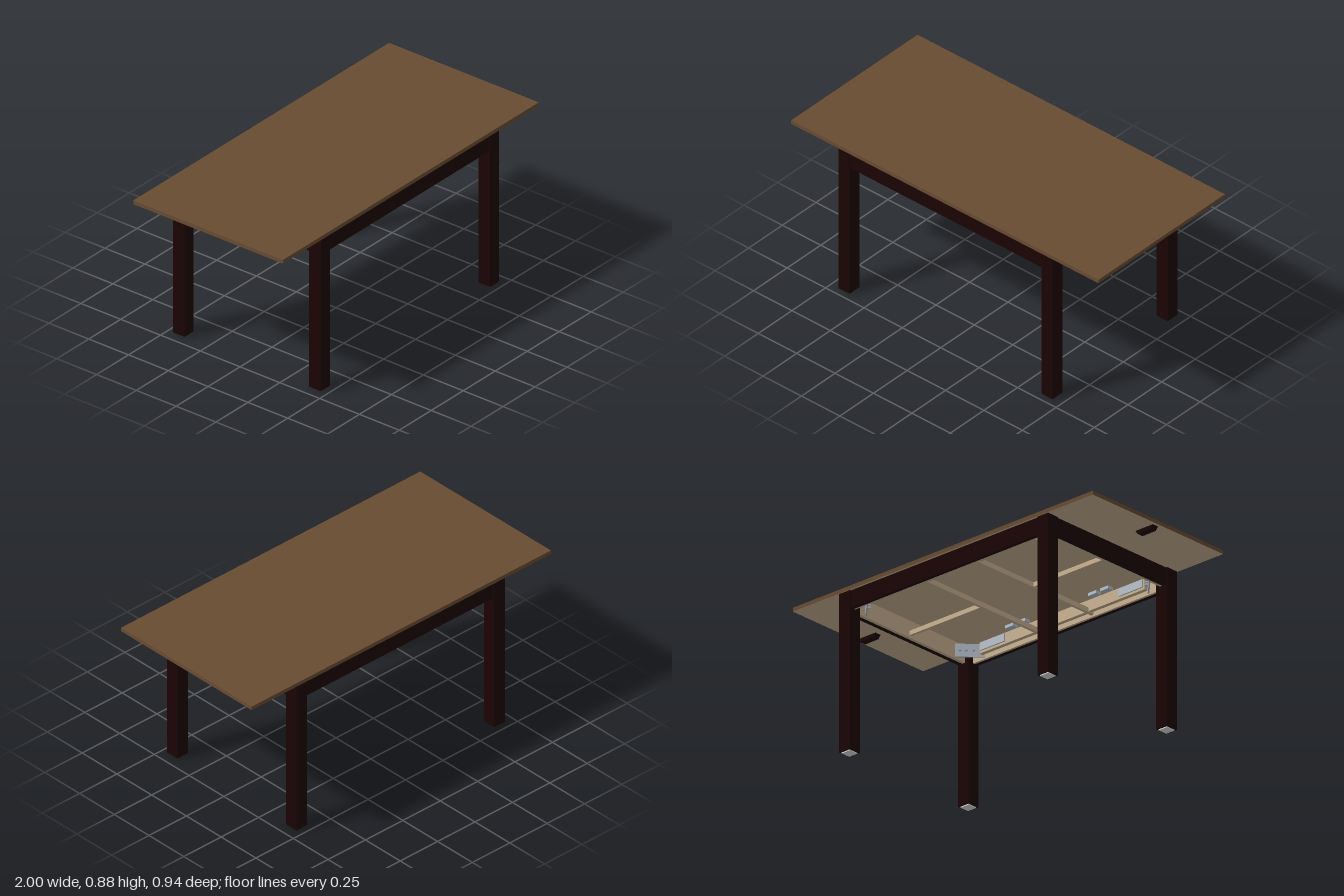
import * as THREE from 'three';

const material = (name, color) => {
  const m = new THREE.MeshStandardMaterial({ color });
  m.name = name;
  return m;
};

export function createModel() {
  const wood = material('brown top veneer', 0x694c32);
  const dark = material('dark stained wood', 0x1b0303);
  const tan = material('raw tan wood', 0xceb796);
  const metal = material('zinc metal', 0xbcc6d2);
  const glide = material('pale plastic', 0xf0f0ee);

  const table = new THREE.Group();
  table.name = 'extendingTable';

  // box given by its limits along each axis
  const box = (name, mat, [x0, x1], [y0, y1], [z0, z1], parent = table) => {
    const mesh = new THREE.Mesh(new THREE.BoxGeometry(x1 - x0, y1 - y0, z1 - z0), mat);
    mesh.position.set((x0 + x1) / 2, (y0 + y1) / 2, (z0 + z1) / 2);
    mesh.name = name;
    parent.add(mesh);
  };
  // limits mirrored to the given side
  const side = (s, a, b) => (s > 0 ? [a, b] : [-b, -a]);

  // three top panels meeting edge to edge, raw wood beneath
  const panelFaces = [wood, wood, wood, tan, wood, wood];
  [[-1, -0.3], [-0.3, 0.3], [0.3, 1]].forEach((x, i) =>
    box(['rightLeaf', 'centreLeaf', 'leftLeaf'][i], panelFaces, x, [0.86, 0.881], [-0.47, 0.47]));

  for (const sx of [-1, 1]) {
    // end apron with raw inner lining
    box('endApron', dark, side(sx, 0.668, 0.69), [0.766, 0.86], [-0.392, 0.392]);
    box('endApronLining', tan, side(sx, 0.65, 0.668), [0.768, 0.86], [-0.392, 0.392]);

    // tapered stop under the end of each leaf
    const profile = new THREE.Shape();
    profile.moveTo(-0.058, 0.86);
    profile.lineTo(-0.045, 0.84);
    profile.lineTo(0.045, 0.84);
    profile.lineTo(0.058, 0.86);
    const stop = new THREE.Mesh(
      new THREE.ExtrudeGeometry(profile, { depth: 0.036, bevelEnabled: false }), dark);
    stop.position.set(sx * 0.925, 0, -0.018);
    stop.name = 'leafStop';
    table.add(stop);

    // frame: slim cross bar and centre rail
    box('crossBar', tan, side(sx, 0.162, 0.178), [0.778, 0.804], [-0.425, 0.425]);
    box('centreRail', tan, side(sx, 0.178, 0.65), [0.78, 0.804], [-0.008, 0.008]);

    for (const sz of [-1, 1]) {
      // leg and floor glide
      box('leg', dark, side(sx, 0.625, 0.697), [0.005, 0.86], side(sz, 0.392, 0.465));
      box('floorGlide', glide, side(sx, 0.634, 0.688), [0, 0.005], side(sz, 0.401, 0.456));

      // slide plate and pair of latches along the runner
      box('slidePlate', metal, side(sx, 0.38, 0.54), [0.798, 0.84], side(sz, 0.383, 0.39));
      for (const x of [0.21, 0.29]) {
        box('latch', metal, side(sx, x, x + 0.055), [0.842, 0.858], side(sz, 0.35, 0.385));
      }

      // diagonal corner bracket with bolts
      const bracket = new THREE.Group();
      bracket.name = 'cornerBracket';
      bracket.position.set(sx * 0.597, 0.81, sz * 0.372);
      bracket.rotation.y = Math.atan2(sx, sz);
      box('bracketPlate', metal, [-0.073, 0.073], [-0.035, 0.035], [-0.004, 0.004], bracket);
      for (const bx of [-0.05, -0.018, 0.018, 0.05]) {
        const bolt = new THREE.Mesh(new THREE.CylinderGeometry(0.007, 0.007, 0.018, 8), metal);
        bolt.rotation.x = Math.PI / 2;
        bolt.position.set(bx, 0, -0.01);
        bolt.name = 'bolt';
        bracket.add(bolt);
      }
      table.add(bracket);
    }
  }

  // long aprons, linings and slide runners
  for (const sz of [-1, 1]) {
    box('longApron', dark, [-0.625, 0.625], [0.766, 0.86], side(sz, 0.438, 0.458));
    box('longApronLining', tan, [-0.625, 0.625], [0.768, 0.86], side(sz, 0.425, 0.438));
    box('slideRunner', tan, [-0.55, 0.55], [0.785, 0.845], side(sz, 0.39, 0.412));
  }

  return table;
}
